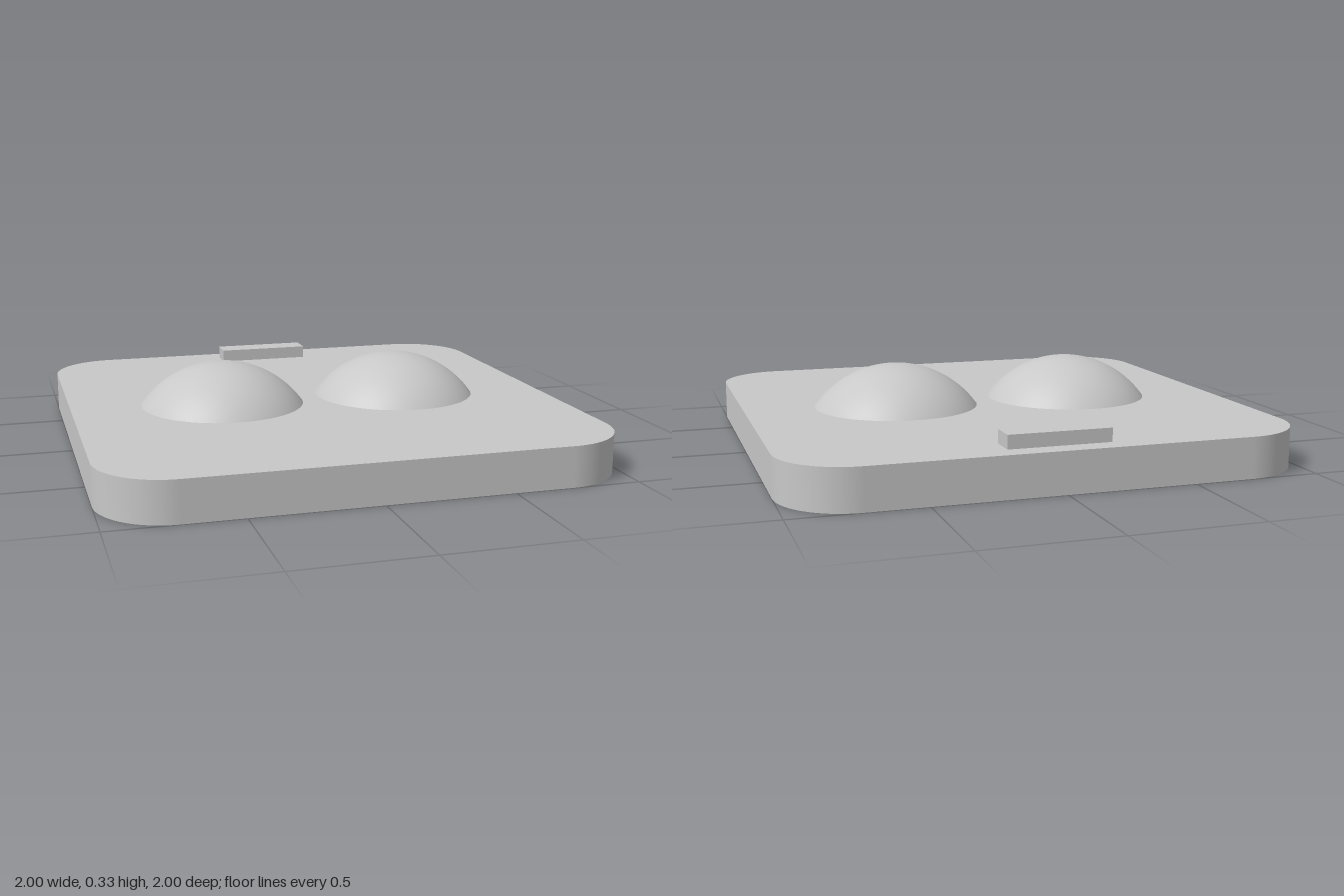
import * as THREE from 'three';

const BASE_TOP = 0.16;

// Square outline with rounded corners
function roundedSquare(half, r) {
  const s = new THREE.Shape();
  const c = half - r;
  s.absarc(c, c, r, 0, Math.PI / 2);
  s.absarc(-c, c, r, Math.PI / 2, Math.PI);
  s.absarc(-c, -c, r, Math.PI, Math.PI * 1.5);
  s.absarc(c, -c, r, Math.PI * 1.5, Math.PI * 2);
  s.closePath();
  return s;
}

export function createModel() {
  const model = new THREE.Group();
  const grey = new THREE.MeshStandardMaterial({ color: 0xc8c8c8 });
  grey.name = 'light grey';

  const add = (name, geometry, x, y, z) => {
    const mesh = new THREE.Mesh(geometry, grey);
    mesh.name = name;
    mesh.position.set(x, y, z);
    model.add(mesh);
  };

  // Base plate
  const plate = new THREE.ExtrudeGeometry(roundedSquare(1, 0.27), {
    depth: BASE_TOP, bevelEnabled: false, curveSegments: 24,
  });
  plate.rotateX(-Math.PI / 2);
  add('basePlate', plate, 0, 0, 0);

  // Two domes: caps of a sphere cut off by the plate
  const rim = 0.337, height = 0.173;
  const radius = (rim * rim + height * height) / (2 * height);
  const capAngle = Math.asin(rim / radius);
  for (const side of [-1, 1]) {
    const dome = new THREE.SphereGeometry(radius, 64, 24, 0, Math.PI * 2, 0, capAngle);
    add(side > 0 ? 'leftDome' : 'rightDome', dome, side * 0.377, BASE_TOP + height - radius, 0);
  }

  // Small raised bar near the back edge
  add('backBar', new THREE.BoxGeometry(0.4, 0.053, 0.105), 0, BASE_TOP + 0.0265, -0.867);

  return model;
}
